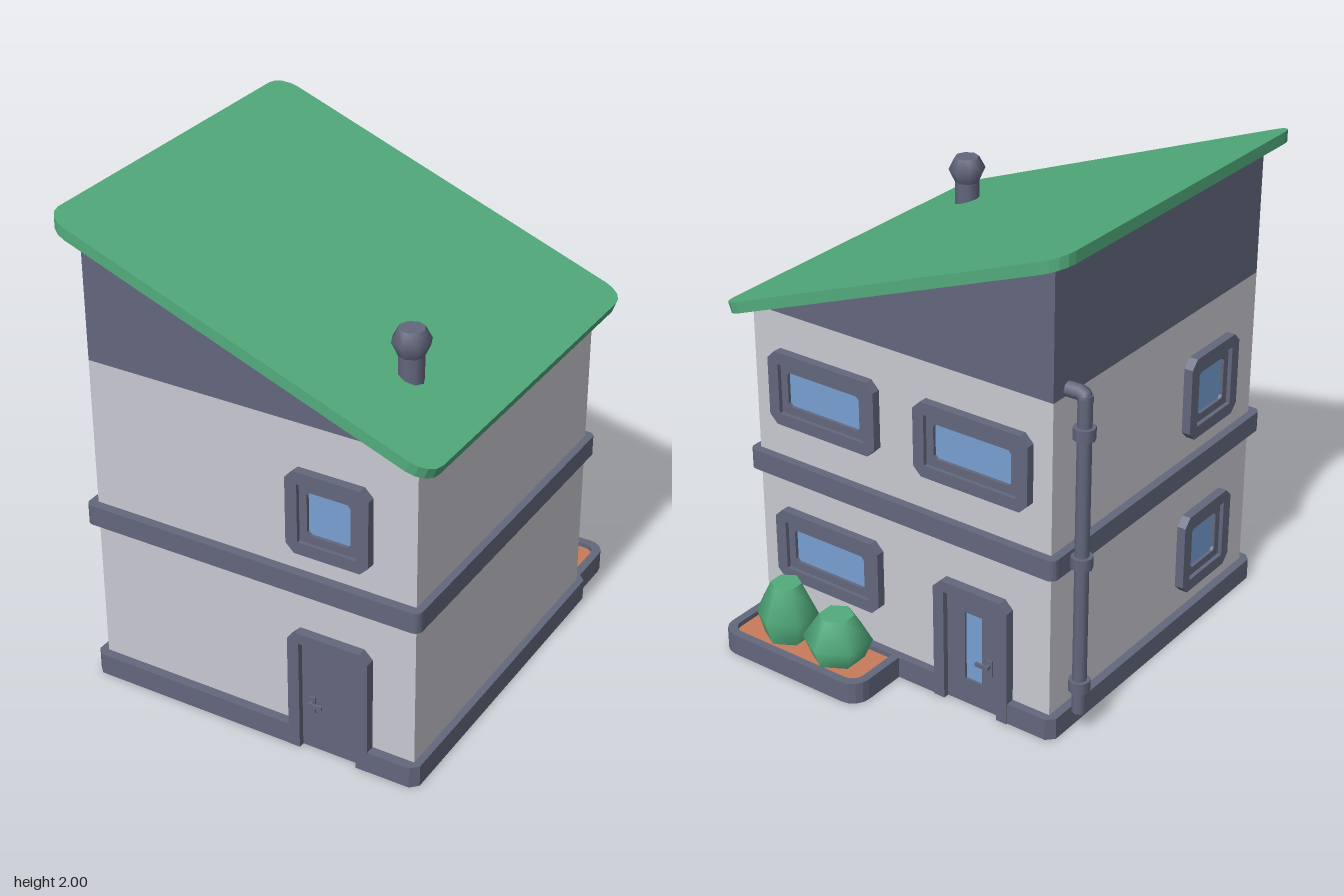
import * as THREE from 'three';

const paint = (name, color) => Object.assign(new THREE.MeshStandardMaterial({ color }), { name });
const slate = paint('slate trim', 0x62677c);
const plaster = paint('pale plaster', 0xc8c8d1);
const green = paint('green', 0x52ab7c);
const glass = paint('blue glass', 0x789fd2);
const soil = paint('terracotta soil', 0xc87b59);

function add(parent, name, geometry, material, x = 0, y = 0, z = 0) {
  const mesh = new THREE.Mesh(geometry, material);
  mesh.name = name;
  mesh.position.set(x, y, z);
  parent.add(mesh);
  return mesh;
}

const box = (w, h, d) => new THREE.BoxGeometry(w, h, d);
const polygon = (points) => new THREE.Shape(points.map(([x, y]) => new THREE.Vector2(x, y)));
const extrude = (shape, depth) => new THREE.ExtrudeGeometry(shape, { depth, bevelEnabled: false, curveSegments: 2 });

function rect(w, h, cx = 0, cy = 0) {
  const a = w / 2, b = h / 2;
  return polygon([[cx - a, cy - b], [cx + a, cy - b], [cx + a, cy + b], [cx - a, cy + b]]);
}

function chamferRect(w, h, c) {
  const a = w / 2, b = h / 2;
  return polygon([[c - a, -b], [a - c, -b], [a, c - b], [a, b - c], [a - c, b], [c - a, b], [-a, b - c], [-a, c - b]]);
}

function roundRect(w, h, r) {
  const a = w / 2 - r, b = h / 2 - r, s = new THREE.Shape();
  [[a, b], [-a, b], [-a, -b], [a, -b]].forEach(([x, y], i) =>
    s.absarc(x, y, r, i * Math.PI / 2, (i + 1) * Math.PI / 2, false));
  return s;
}

// horizontal slab with its underside at y = 0
const slab = (shape, height) => extrude(shape, height).rotateX(-Math.PI / 2);

const lathe = (points, sides) =>
  new THREE.LatheGeometry(points.map(([r, y]) => new THREE.Vector2(r, y)), sides);

// stepped frame around a pane, facing +z
function addWindow(wall, x, y, w, h) {
  const g = new THREE.Group();
  g.name = 'window';
  g.position.set(x, y, 0);
  const outer = chamferRect(w, h, 0.035);
  outer.holes.push(rect(w - 0.1, h - 0.1));
  add(g, 'windowFrame', extrude(outer, 0.037), slate);
  const inner = rect(w - 0.1, h - 0.1);
  inner.holes.push(chamferRect(w - 0.165, h - 0.165, 0.012));
  add(g, 'windowSash', extrude(inner, 0.02), slate);
  add(g, 'windowPane', box(w - 0.16, h - 0.16, 0.006), glass, 0, 0, 0.003);
  wall.add(g);
}

// framed door facing +z; side is where the handle sits
function addDoor(wall, x, side, glazed) {
  const g = new THREE.Group();
  g.name = 'door';
  g.position.x = x;
  add(g, 'doorFrame', extrude(polygon([
    [-0.172, 0], [-0.123, 0], [-0.123, 0.48], [0.123, 0.48], [0.123, 0], [0.172, 0],
    [0.172, 0.49], [0.137, 0.525], [-0.137, 0.525], [-0.172, 0.49],
  ]), 0.041), slate);
  const panel = rect(0.246, 0.48, 0, 0.24);
  if (glazed) {
    panel.holes.push(rect(0.08, 0.3, 0, 0.26));
    add(g, 'doorPane', box(0.08, 0.3, 0.006), glass, 0, 0.26, 0.003);
  }
  add(g, 'doorPanel', extrude(panel, 0.016), slate);
  add(g, 'handlePlate', box(0.028, 0.07, 0.008), slate, side * 0.078, 0.205, 0.02);
  add(g, 'handleStem', box(0.014, 0.014, 0.028), slate, side * 0.078, 0.215, 0.03);
  add(g, 'handleLever', box(0.06, 0.016, 0.01), slate, side * 0.056, 0.215, 0.039);
  wall.add(g);
}

export function createModel() {
  const model = new THREE.Group();
  model.name = 'house';

  // walls, plinth notched at the doors, and storey band
  add(model, 'walls', box(1.39, 1.35, 1.39), plaster, 0.005, 0.725, 0.105);
  add(model, 'plinth', slab(polygon([
    [-0.695, -0.84], [0.227, -0.84], [0.227, -0.81], [0.473, -0.81], [0.473, -0.84], [0.7, -0.84],
    [0.73, -0.81], [0.73, 0.595], [0.7, 0.625], [-0.227, 0.625], [-0.227, 0.597], [-0.473, 0.597],
    [-0.473, 0.625], [-0.695, 0.625], [-0.725, 0.595], [-0.725, -0.81],
  ]), 0.09), slate);
  add(model, 'storeyBand', slab(roundRect(1.455, 1.465, 0.03), 0.085), slate, 0.003, 0.7, 0.107);

  // wedge under the sloping roof
  add(model, 'gable', extrude(polygon([[-0.69, 1.4], [0.7, 1.4], [-0.69, 1.925]]), 1.39), slate, 0, 0, -0.59);

  // roof: rounded slab sheared down towards +x
  const roof = slab(roundRect(1.57, 1.565, 0.085), 0.048).translate(0.01, 0, 0.105);
  const p = roof.attributes.position;
  for (let i = 0; i < p.count; i++) {
    const x = p.getX(i), y = p.getY(i);
    const nx = x > 0 && y < 0.01 ? x - 0.016 : x;
    p.setXYZ(i, nx, 1.952 + y - 0.379 * (nx + 0.775), p.getZ(i));
  }
  roof.computeVertexNormals();
  add(model, 'roof', roof, green);

  // chimney
  add(model, 'chimneyStack', lathe([[0.05, 1.4], [0.05, 1.61]], 8), slate, 0.495, 0, 0.49);
  add(model, 'chimneyCap', lathe([[0.05, 1.605], [0.076, 1.66], [0.05, 1.71]], 8), slate, 0.495, 0, 0.49);
  add(model, 'chimneyTop', new THREE.CircleGeometry(0.05, 8).rotateX(-Math.PI / 2), slate, 0.495, 1.71, 0.49);

  // openings, one group per wall
  const wall = (name, x, z, turn) => {
    const g = new THREE.Group();
    g.name = name;
    g.position.set(x, 0, z);
    g.rotation.y = turn;
    model.add(g);
    return g;
  };
  const front = wall('frontOpenings', 0, 0.8, 0);
  addWindow(front, 0.35, 1.048, 0.345, 0.345);
  addDoor(front, 0.35, -1, false);

  const side = wall('rightOpenings', -0.69, 0.105, -Math.PI / 2);
  for (const y of [0.352, 1.048]) addWindow(side, 0.35, y, 0.345, 0.345);

  const back = wall('backOpenings', 0, -0.59, Math.PI);
  for (const [x, y] of [[-0.35, 0.402], [-0.35, 1.097], [0.35, 1.097]]) addWindow(back, x, y, 0.515, 0.31);
  addDoor(back, 0.35, 1, true);

  // drainpipe with collars and an elbow into the wall
  const drain = new THREE.Group();
  drain.name = 'drainpipe';
  drain.position.set(-0.762, 0, -0.5);
  model.add(drain);
  add(drain, 'pipe', new THREE.CylinderGeometry(0.028, 0.028, 1.33, 8), slate, 0, 0.755, 0);
  const bend = new THREE.CurvePath();
  const knots = [[0, 1.39], [0, 1.41], [0.014, 1.425], [0.09, 1.425]].map(([x, y]) => new THREE.Vector3(x, y, 0));
  for (let i = 0; i < 3; i++) bend.add(new THREE.LineCurve3(knots[i], knots[i + 1]));
  add(drain, 'elbow', new THREE.TubeGeometry(bend, 12, 0.03, 8), slate);
  for (const y of [0.21, 0.745, 1.272]) {
    add(drain, 'collar', new THREE.CylinderGeometry(0.043, 0.043, 0.048, 8), slate, 0, y, 0);
  }

  // planter behind the house
  const rim = roundRect(0.7, 0.385, 0.075);
  rim.holes.push(roundRect(0.63, 0.315, 0.05));
  add(model, 'planterRim', slab(rim, 0.09), slate, 0.35, 0, -0.6925);
  add(model, 'planterFloor', slab(roundRect(0.66, 0.345, 0.055), 0.03), slate, 0.35, 0, -0.6925);
  add(model, 'planterSoil', slab(roundRect(0.64, 0.325, 0.05), 0.045), soil, 0.35, 0.025, -0.6925);

  // six-sided bushes
  for (const [x, r, top] of [[0.22, 0.139, 0.26], [0.477, 0.125, 0.31]]) {
    const mid = 0.07 + (top - 0.07) * 0.44;
    add(model, 'bush', lathe([[r * 0.72, 0.06], [r, mid], [r * 0.5, top]], 6), green, x, 0, -0.728);
    add(model, 'bushTop', new THREE.CircleGeometry(r * 0.5, 6, Math.PI / 2).rotateX(-Math.PI / 2), green, x, top, -0.728);
  }
  return model;
}
